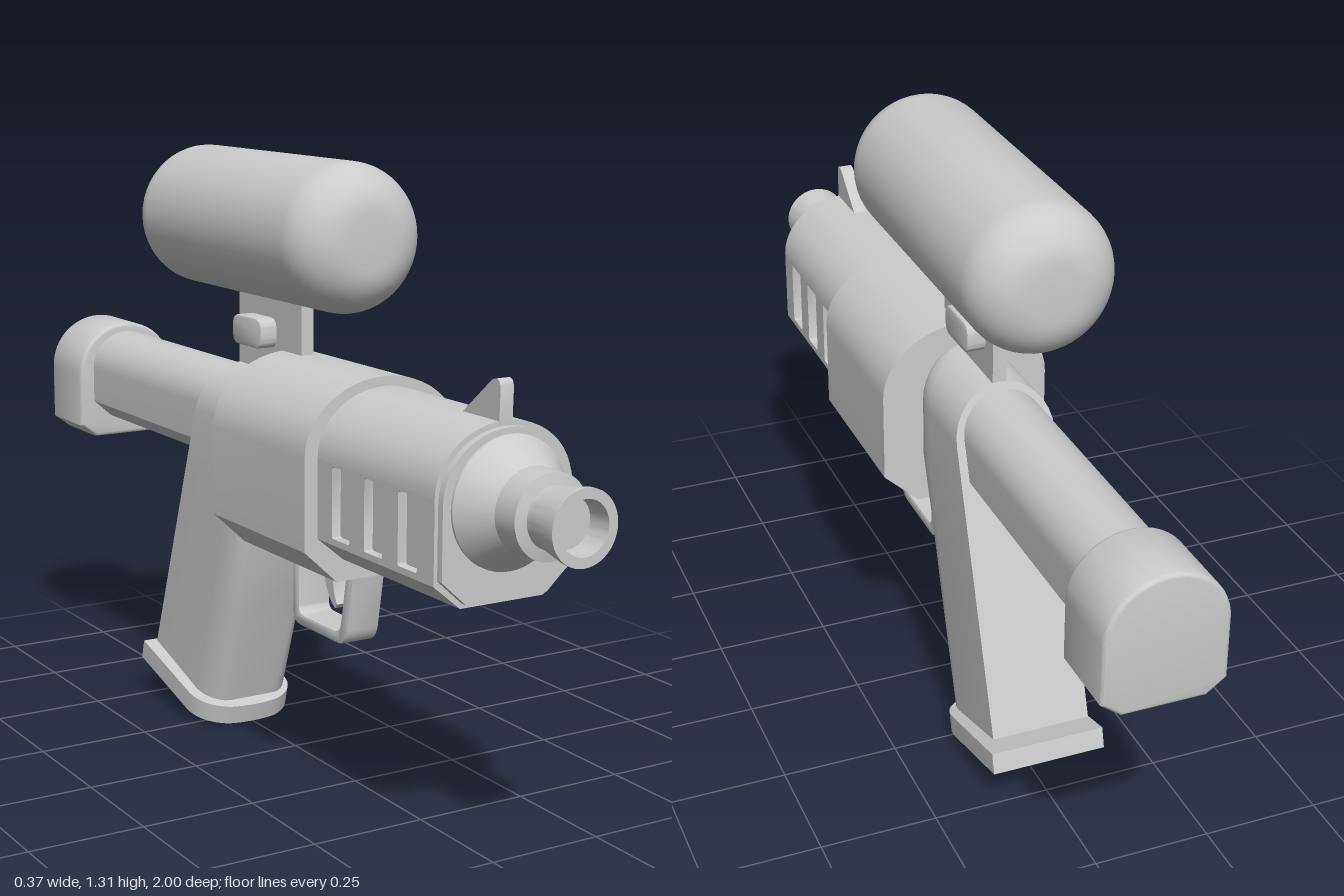
import * as THREE from 'three';
import { toCreasedNormals } from 'three/addons/utils/BufferGeometryUtils.js';

const material = new THREE.MeshStandardMaterial({ color: 0xcccccc });

export function createModel() {
  const model = new THREE.Group();

  function add(name, geometry, crease = 0.6) {
    const flat = geometry.index ? geometry.toNonIndexed() : geometry;
    const mesh = new THREE.Mesh(toCreasedNormals(flat, crease), material);
    mesh.name = name;
    model.add(mesh);
    return mesh;
  }

  const polygon = (points) => new THREE.Shape(points.map(([a, b]) => new THREE.Vector2(a, b)));

  // Front outline: arched top, straight sides, chamfered bottom; sides may be notched
  function arch(w, top, ry, bottom, cx, cy, notch) {
    const half = [[w - cx, bottom], [w, bottom + cy]];
    if (notch) {
      const [y0, y1, depth] = notch;
      half.push([w, y0], [w - depth, y0], [w - depth, y1], [w, y1]);
    }
    const n = 12;
    for (let i = 0; i < n; i++) {
      const a = (i / n) * Math.PI / 2;
      half.push([w * Math.cos(a), top - ry + ry * Math.sin(a)]);
    }
    const mirrored = half.map(([x, y]) => [-x, y]).reverse();
    return polygon([...half, [0, top], ...mirrored]);
  }

  // Extrude a front outline from z0 to z1
  function alongZ(name, shape, z0, z1, bevel = 0) {
    const g = new THREE.ExtrudeGeometry(shape, {
      depth: z1 - z0 - 2 * bevel, bevelEnabled: bevel > 0, bevelSize: bevel,
      bevelOffset: -bevel, bevelThickness: bevel, bevelSegments: 3,
    });
    g.translate(0, 0, z0 + bevel);
    return add(name, g);
  }

  // Extrude a side outline, drawn in (z, y), centred on x
  function alongX(name, shape, width, x = 0, bevel = 0) {
    const g = new THREE.ExtrudeGeometry(shape, {
      depth: width - 2 * bevel, curveSegments: 8, bevelEnabled: bevel > 0,
      bevelSize: bevel, bevelOffset: -bevel, bevelThickness: bevel, bevelSegments: 2,
    });
    g.translate(0, 0, -width / 2 + bevel);
    g.rotateY(-Math.PI / 2);
    g.translate(x, 0, 0);
    return add(name, g);
  }

  // Lathe a profile of (radius, z) around a lengthwise axis
  function turned(name, profile, y, crease) {
    const g = new THREE.LatheGeometry(profile.map(([r, z]) => new THREE.Vector2(r, z)), 48);
    g.rotateX(Math.PI / 2);
    g.translate(0, y, 0);
    return add(name, g, crease);
  }

  function roundedRect(x0, y0, x1, y1, r, path = new THREE.Shape()) {
    path.moveTo(x0 + r, y0).lineTo(x1 - r, y0).quadraticCurveTo(x1, y0, x1, y0 + r);
    path.lineTo(x1, y1 - r).quadraticCurveTo(x1, y1, x1 - r, y1);
    path.lineTo(x0 + r, y1).quadraticCurveTo(x0, y1, x0, y1 - r);
    path.lineTo(x0, y0 + r).quadraticCurveTo(x0, y0, x0 + r, y0);
    return path;
  }

  // Main body, front housing and stock
  alongZ('body', arch(0.185, 0.89, 0.15, 0.48, 0.075, 0.07), -0.03, 0.35);
  alongZ('frontHousing', arch(0.155, 0.87, 0.13, 0.525, 0.06, 0.05, [0.58, 0.738, 0.02]), 0.34, 0.76);
  alongZ('housingRim', arch(0.147, 0.86, 0.13, 0.535, 0.055, 0.05), 0.75, 0.775);
  alongZ('stock', arch(0.09, 0.825, 0.085, 0.617, 0.045, 0.04), -0.85, -0.15);
  alongZ('stockCap', arch(0.125, 0.845, 0.12, 0.567, 0.04, 0.03), -1, -0.83, 0.008);

  // Slotted side panels filling the housing notches
  for (const side of [1, -1]) {
    const panel = polygon([[0.34, 0.58], [0.76, 0.58], [0.76, 0.738], [0.34, 0.738]]);
    for (let i = 0; i < 3; i++) {
      const z = 0.405 + i * 0.1175;
      panel.holes.push(roundedRect(z, 0.588, z + 0.065, 0.733, 0.006, new THREE.Path()));
    }
    alongX('slottedPanel', panel, 0.02, side * 0.145);
  }

  // Nozzle with open bore
  turned('nozzle', [
    [0.13, 0.76], [0.13, 0.78], [0.083, 0.845], [0.083, 0.905], [0.06, 0.91], [0.06, 0.925],
    [0.073, 0.99], [0.073, 1], [0.053, 1], [0.05, 0.95], [0, 0.95],
  ], 0.718, 0.4);

  // Front sight
  const sight = new THREE.Shape();
  sight.moveTo(0.64, 0.86).lineTo(0.76, 0.86).lineTo(0.762, 0.93);
  sight.quadraticCurveTo(0.76, 0.955, 0.735, 0.943).lineTo(0.645, 0.87);
  alongX('frontSight', sight, 0.03);

  // Tank with rounded ends
  const tank = [[0, -0.395]];
  for (let i = 0; i <= 10; i++) {
    const a = (i / 10) * Math.PI / 2;
    tank.push([0.055 + 0.1 * Math.sin(a), -0.295 - 0.1 * Math.cos(a)]);
  }
  const tankEnd = tank.map(([r, z]) => [r, -z]).reverse();
  turned('tank', [...tank, ...tankEnd].map(([r, z]) => [r, z - 0.095]), 1.152);

  // Tank mount and its cross knob
  alongX('tankMount', polygon([[-0.22, 0.8], [0.05, 0.8], [0.05, 1.02], [-0.22, 1.02]]), 0.03);
  alongX('mountKnob', roundedRect(-0.18, 0.89, -0.055, 0.955, 0.025), 0.11, 0, 0.004);

  // Trigger guard and trigger
  const guard = new THREE.Shape();
  guard.moveTo(0.055, 0.5).lineTo(0.055, 0.34).quadraticCurveTo(0.055, 0.31, 0.085, 0.31);
  guard.lineTo(0.235, 0.31).quadraticCurveTo(0.268, 0.31, 0.276, 0.345).lineTo(0.304, 0.5);
  guard.lineTo(0.277, 0.5).lineTo(0.25, 0.355).quadraticCurveTo(0.245, 0.335, 0.225, 0.335);
  guard.lineTo(0.1, 0.335).quadraticCurveTo(0.08, 0.335, 0.08, 0.355).lineTo(0.08, 0.5);
  alongX('triggerGuard', guard, 0.078, 0, 0.004);

  const trigger = new THREE.Shape();
  trigger.moveTo(0.145, 0.5).quadraticCurveTo(0.145, 0.4, 0.195, 0.372);
  trigger.lineTo(0.203, 0.382).quadraticCurveTo(0.175, 0.42, 0.192, 0.5);
  alongX('trigger', trigger, 0.036);

  // Grip: raked D-shaped sections, closing to an arch over the stock
  const levels = [0.06, 0.3, 0.6, 0.73];
  for (let i = 1; i <= 8; i++) levels.push(0.73 + 0.11 * Math.sin((i / 8) * Math.PI / 2));
  const positions = [], index = [], arc = 6;
  levels.forEach((y, level) => {
    const k = Math.max(0.01, y > 0.73 ? Math.sqrt(Math.max(0, 1 - ((y - 0.73) / 0.11) ** 2)) : 1);
    const w = 0.108 * k;
    const flat = k * (0.05 + 0.04 * Math.min(1, y / 0.6));
    const front = -0.03 - Math.max(0, 0.6 - y) * 0.31;
    const half = [];
    for (let i = 0; i <= arc; i++) {
      const a = (i / arc) * Math.PI / 2;
      half.push([flat + (w - flat) * Math.sin(a), front - 0.07 * k * (1 - Math.cos(a))]);
    }
    half.push([w, -0.22 - (0.84 - y) * 0.35]);
    const ring = [...half, ...half.map(([x, z]) => [-x, z]).reverse()];
    for (const [x, z] of ring) {
      // The lowest section tilts with the base plate
      const lift = level === 0 ? (front - z) * 0.27 : 0;
      positions.push(x, y + lift, z + (level === 0 && z < -0.4 ? lift * 0.35 : 0));
    }
  });
  const n = 2 * (arc + 2);
  for (let l = 0; l < levels.length - 1; l++) {
    for (let i = 0; i < n; i++) {
      const a = l * n + i, b = l * n + (i + 1) % n;
      index.push(a, b, b + n, a, b + n, a + n);
    }
  }
  const last = (levels.length - 1) * n;
  for (let i = 1; i < n - 1; i++) index.push(0, i + 1, i, last, last + i, last + i + 1);
  const grip = new THREE.BufferGeometry();
  grip.setAttribute('position', new THREE.Float32BufferAttribute(positions, 3));
  grip.setIndex(index);
  add('grip', grip);

  // Base plate: round front, square back, tilted with the grip
  const plate = new THREE.Shape();
  plate.moveTo(-0.125, 0.33).lineTo(-0.125, 0.09).quadraticCurveTo(-0.122, 0.03, -0.06, 0.006);
  plate.quadraticCurveTo(0, -0.006, 0.06, 0.006).quadraticCurveTo(0.122, 0.03, 0.125, 0.09);
  plate.lineTo(0.125, 0.33);
  const base = new THREE.ExtrudeGeometry(plate, { depth: 0.045, bevelEnabled: false, curveSegments: 8 });
  base.rotateX(-Math.PI / 2);
  base.rotateX(0.265);
  base.translate(0, 0.002, -0.194);
  add('gripBase', base);

  return model;
}
